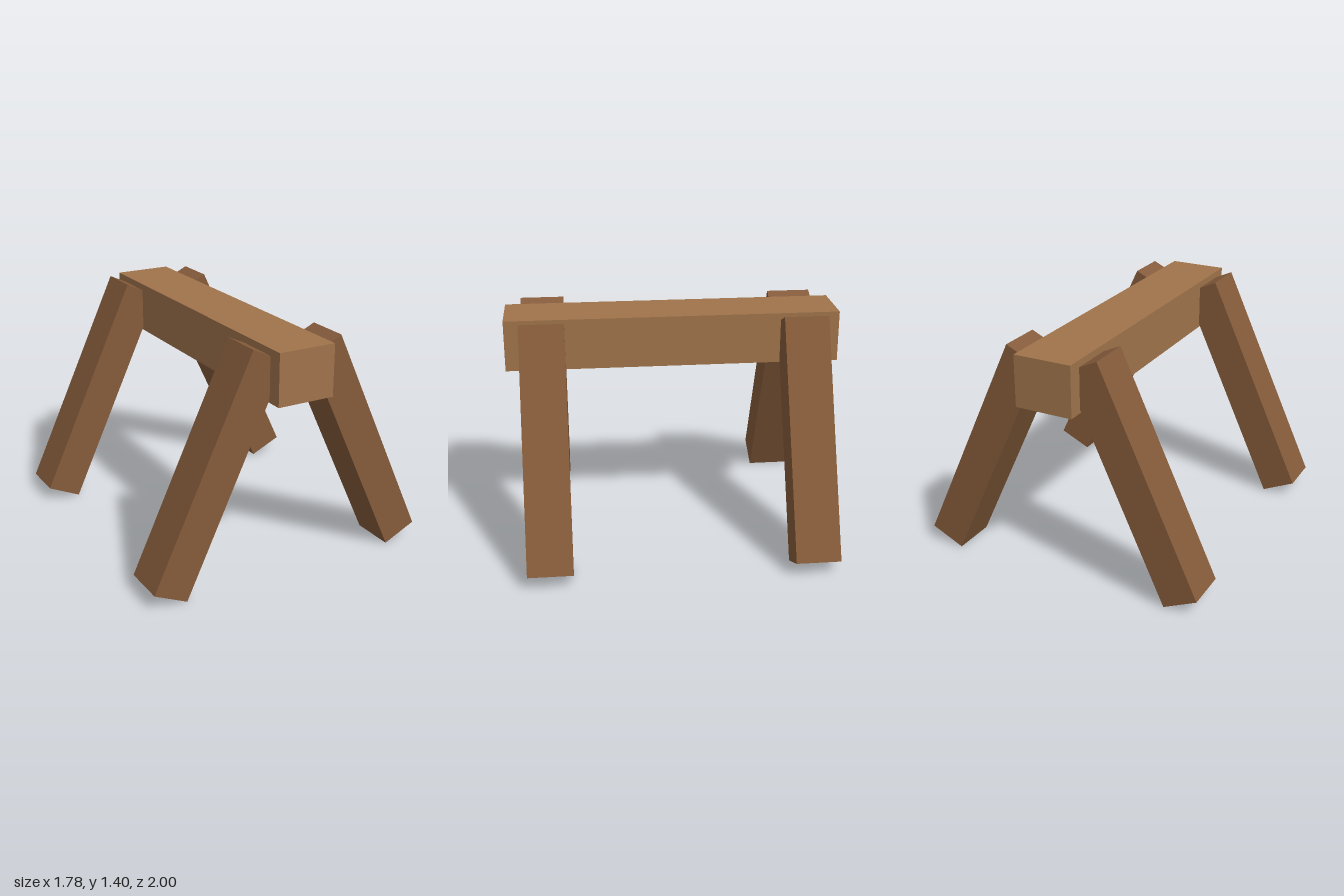
import * as THREE from 'three';

export function createModel() {
  const model = new THREE.Group();
  const beamWood = new THREE.MeshStandardMaterial({ color: 0xa0744b });
  const legWood = new THREE.MeshStandardMaterial({ color: 0x855b3b });

  // Horizontal top beam
  const beam = new THREE.Mesh(new THREE.BoxGeometry(0.352, 0.307, 2), beamWood);
  beam.name = 'beam';
  beam.position.y = 1.237;
  model.add(beam);

  // Four splayed legs, their tops let into the beam's sides
  const legGeometry = new THREE.BoxGeometry(0.221, 1.44, 0.265);
  for (const [end, z] of [['front', 0.777], ['back', -0.777]]) {
    for (const [side, s] of [['Left', 1], ['Right', -1]]) {
      const leg = new THREE.Mesh(legGeometry, legWood);
      leg.name = `${end}${side}Leg`;
      leg.position.set(s * 0.486, 0.7, z);
      leg.rotation.z = s * THREE.MathUtils.degToRad(25);
      model.add(leg);
    }
  }
  return model;
}
